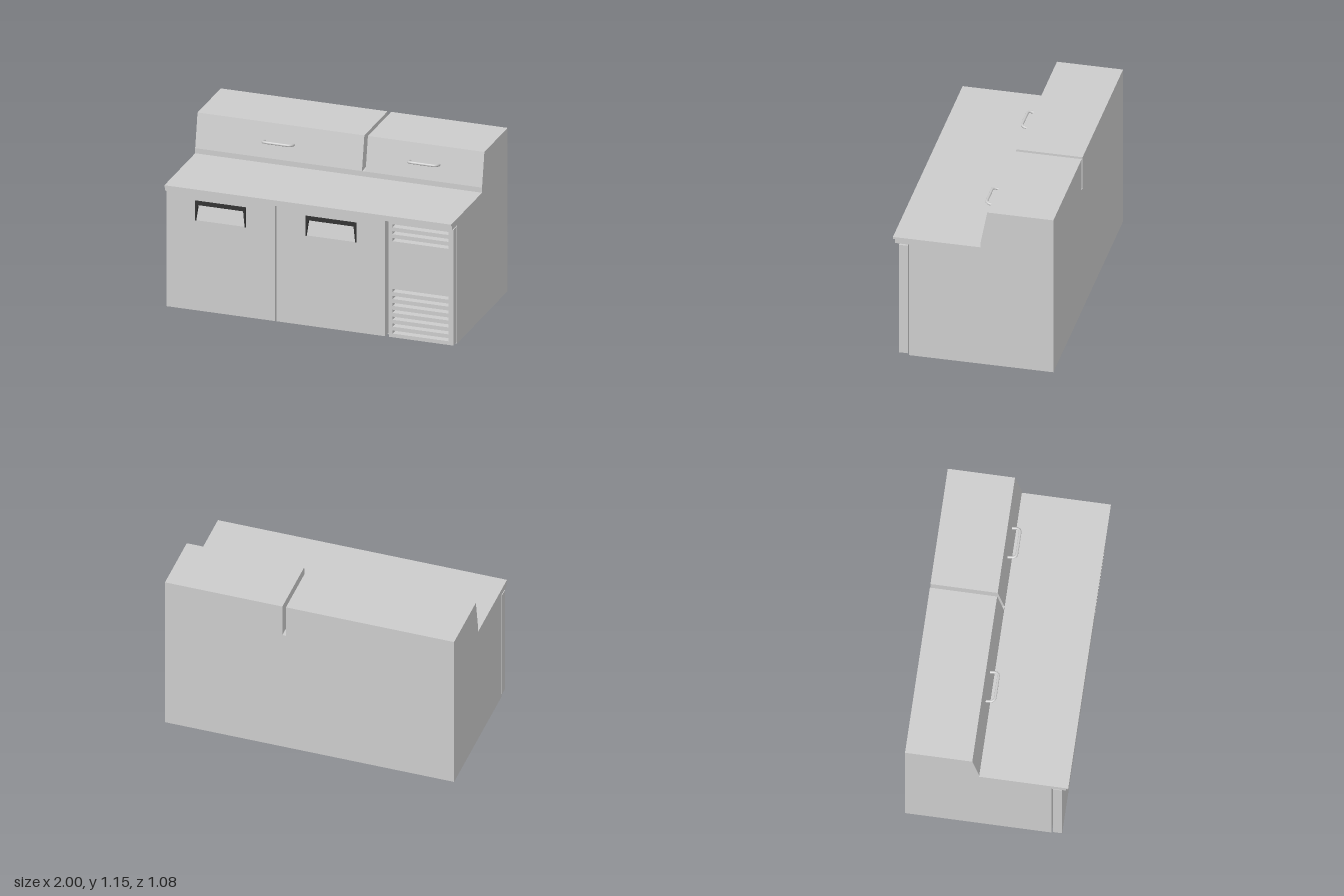
import * as THREE from 'three';

const steel = new THREE.MeshStandardMaterial({ color: 0xcccccc });
const black = new THREE.MeshStandardMaterial({ color: 0x333333 });

function shapeOf(points) {
  return new THREE.Shape(points.map(([a, b]) => new THREE.Vector2(a, b)));
}

function rectangle(x0, x1, y0, y1) {
  return [[x0, y0], [x1, y0], [x1, y1], [x0, y1]];
}

// Extrude a [z, y] side profile across the width from x0 to x1
function across(profile, x0, x1) {
  return new THREE.ExtrudeGeometry(shapeOf(profile), { depth: x1 - x0, bevelEnabled: false })
    .rotateY(-Math.PI / 2).translate(x1, 0, 0);
}

// Front panel in the xy plane with cut-outs
function panel(outline, holes, z0, z1) {
  const shape = shapeOf(outline);
  for (const hole of holes) shape.holes.push(shapeOf(hole));
  return new THREE.ExtrudeGeometry(shape, { depth: z1 - z0, bevelEnabled: false }).translate(0, 0, z0);
}

export function createModel() {
  const model = new THREE.Group();
  const add = (name, geometry, material = steel, parent = model) => {
    const mesh = new THREE.Mesh(geometry, material);
    mesh.name = name;
    parent.add(mesh);
    return mesh;
  };

  // Cabinet with the overhanging stepped worktop and low riser
  add('cabinet', across([
    [-0.54, 0], [0.43, 0], [0.43, 0.84], [0.525, 0.84], [0.525, 0.87], [0.54, 0.87],
    [0.54, 0.884], [-0.05, 0.884], [-0.05, 0.92], [-0.54, 0.92],
  ], -1, 1));

  // Two sloping lids with a gap between them
  const lidProfile = [[-0.54, 0.92], [-0.05, 0.92], [-0.095, 1.155], [-0.54, 1.155]];
  for (const [side, x0, x1, handleX] of [['right', -1, 0.163, -0.422], ['left', 0.188, 1, 0.592]]) {
    const lid = new THREE.Group();
    lid.name = `${side}Lid`;
    add(`${side}LidPanel`, across(lidProfile, x0, x1), steel, lid);

    // Bent rod handle, rising slightly toward the front
    const path = new THREE.CurvePath();
    const p = (x, z) => new THREE.Vector3(handleX + x, 1.03 + (z + 0.075) * 0.22, z);
    const w = 0.102, front = -0.014, bend = 0.032;
    path.add(new THREE.LineCurve3(p(-w, -0.08), p(-w, front - bend)));
    path.add(new THREE.QuadraticBezierCurve3(p(-w, front - bend), p(-w, front), p(-w + bend, front)));
    path.add(new THREE.LineCurve3(p(-w + bend, front), p(w - bend, front)));
    path.add(new THREE.QuadraticBezierCurve3(p(w - bend, front), p(w, front), p(w, front - bend)));
    path.add(new THREE.LineCurve3(p(w, front - bend), p(w, -0.08)));
    add(`${side}LidHandle`, new THREE.TubeGeometry(path, 64, 0.009, 12), steel, lid);
    model.add(lid);
  }

  // Doors with a recessed pull
  const back = 0.44, face = 0.5, bottom = 0.013, top = 0.83;
  for (const [side, x0, x1, pullX] of [['right', -1, -0.243, -0.622], ['middle', -0.232, 0.525, 0.148]]) {
    const door = new THREE.Group();
    door.name = `${side}Door`;
    const l = pullX - 0.177, r = pullX + 0.177, y0 = 0.65, y1 = 0.79;
    add(`${side}DoorPanel`, panel(rectangle(x0, x1, bottom, top), [rectangle(l, r, y0, y1)], back, face), steel, door);

    // Sloped scoop behind the pull
    add(`${side}DoorScoop`, across([[back, y0], [face, y0], [0.472, y1], [back, y1]], l, r), steel, door);

    // Dark surround with tapering legs
    add(`${side}DoorPull`, panel([
      [l, y0], [l + 0.007, y0], [l + 0.018, 0.762], [r - 0.018, 0.762],
      [r - 0.007, y0], [r, y0], [r, y1], [l, y1],
    ], [], 0.474, 0.508), black, door);
    model.add(door);
  }

  // Vented machine cover: three slots above, seven below
  const slots = [];
  const slot = (y) => slots.push(rectangle(0.577, 0.968, y - 0.011, y + 0.011));
  for (let i = 0; i < 3; i++) slot(0.802 - i * 0.049);
  for (let i = 0; i < 7; i++) slot(0.344 - i * 0.049);
  add('ventPanel', panel(rectangle(0.55, 1, bottom, top), slots, back, face));

  return model;
}
